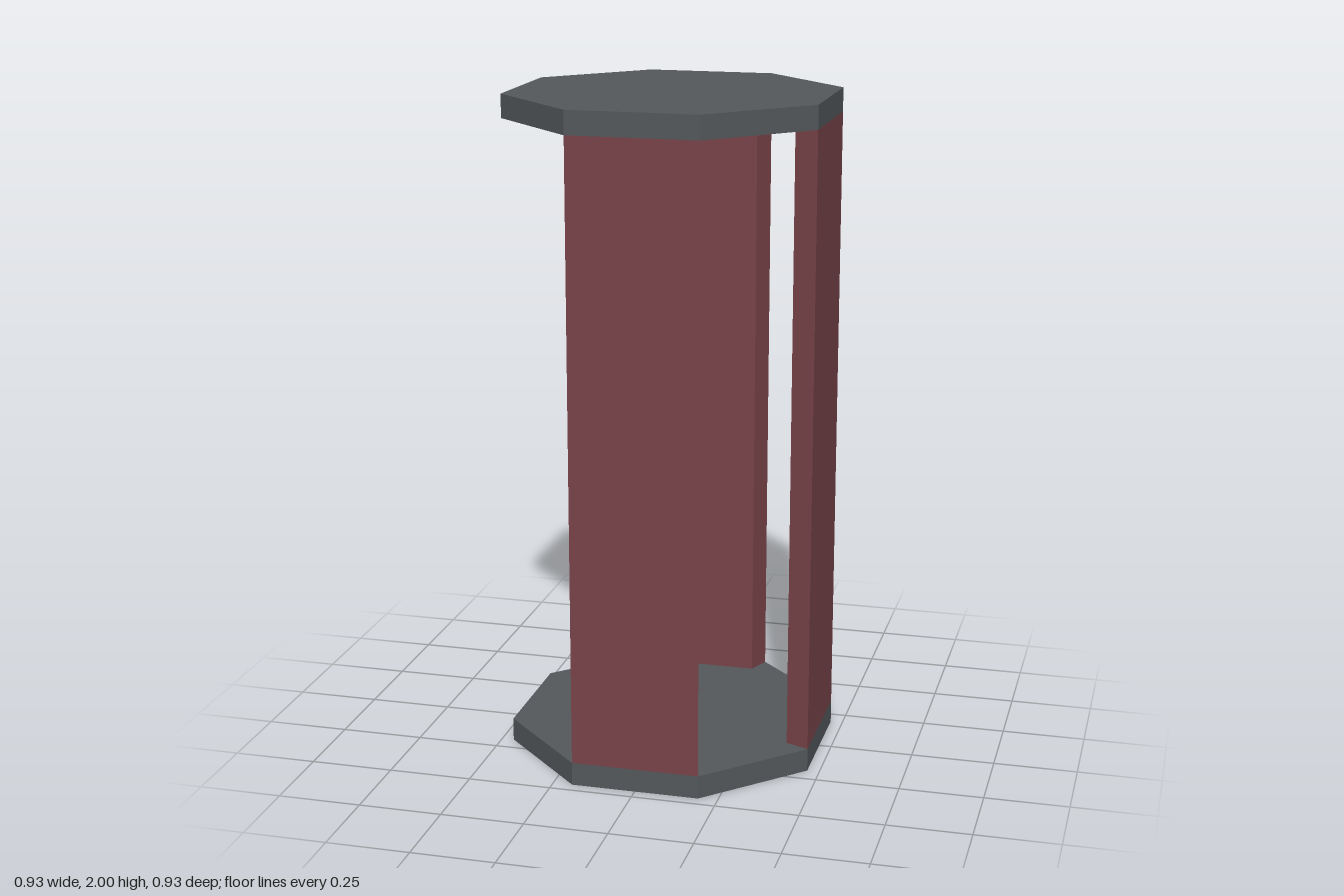
import * as THREE from 'three';

const APOTHEM = 0.463, CAP = 0.07, THICK = 0.07, HEIGHT = 2;
const TAN = Math.tan(Math.PI / 8);

export function createModel() {
  const group = new THREE.Group();
  const grey = new THREE.MeshStandardMaterial({ name: 'slateGrey', color: 0x53585b, flatShading: true });
  const red = new THREE.MeshStandardMaterial({ name: 'dullRed', color: 0x774347, flatShading: true });

  const add = (name, geometry, material) => {
    const mesh = new THREE.Mesh(geometry, material);
    mesh.name = name;
    group.add(mesh);
    return mesh;
  };

  // Octagonal floor and roof, flat sides facing the axes
  const radius = APOTHEM / Math.cos(Math.PI / 8);
  const slab = new THREE.CylinderGeometry(radius, radius, CAP, 8).rotateY(Math.PI / 8);
  add('floorSlab', slab, grey).position.y = CAP / 2;
  add('roofSlab', slab, grey).position.y = HEIGHT - CAP / 2;

  // Wall panel: a segment of an octagonal ring with mitred ends
  const inner = APOTHEM - THICK;
  const section = new THREE.Shape([
    new THREE.Vector2(-APOTHEM * TAN, -APOTHEM),
    new THREE.Vector2(APOTHEM * TAN, -APOTHEM),
    new THREE.Vector2(inner * TAN, -inner),
    new THREE.Vector2(-inner * TAN, -inner),
  ]);
  const panel = new THREE.ExtrudeGeometry(section, { depth: HEIGHT - 2 * CAP, bevelEnabled: false });
  panel.rotateX(-Math.PI / 2).translate(0, CAP, 0);

  // Panels on three sides; the right side stays open
  ['frontPanel', 'leftPanel', 'backPanel'].forEach((name, i) => {
    add(name, panel, red).rotation.y = i * Math.PI / 2;
  });
  return group;
}
